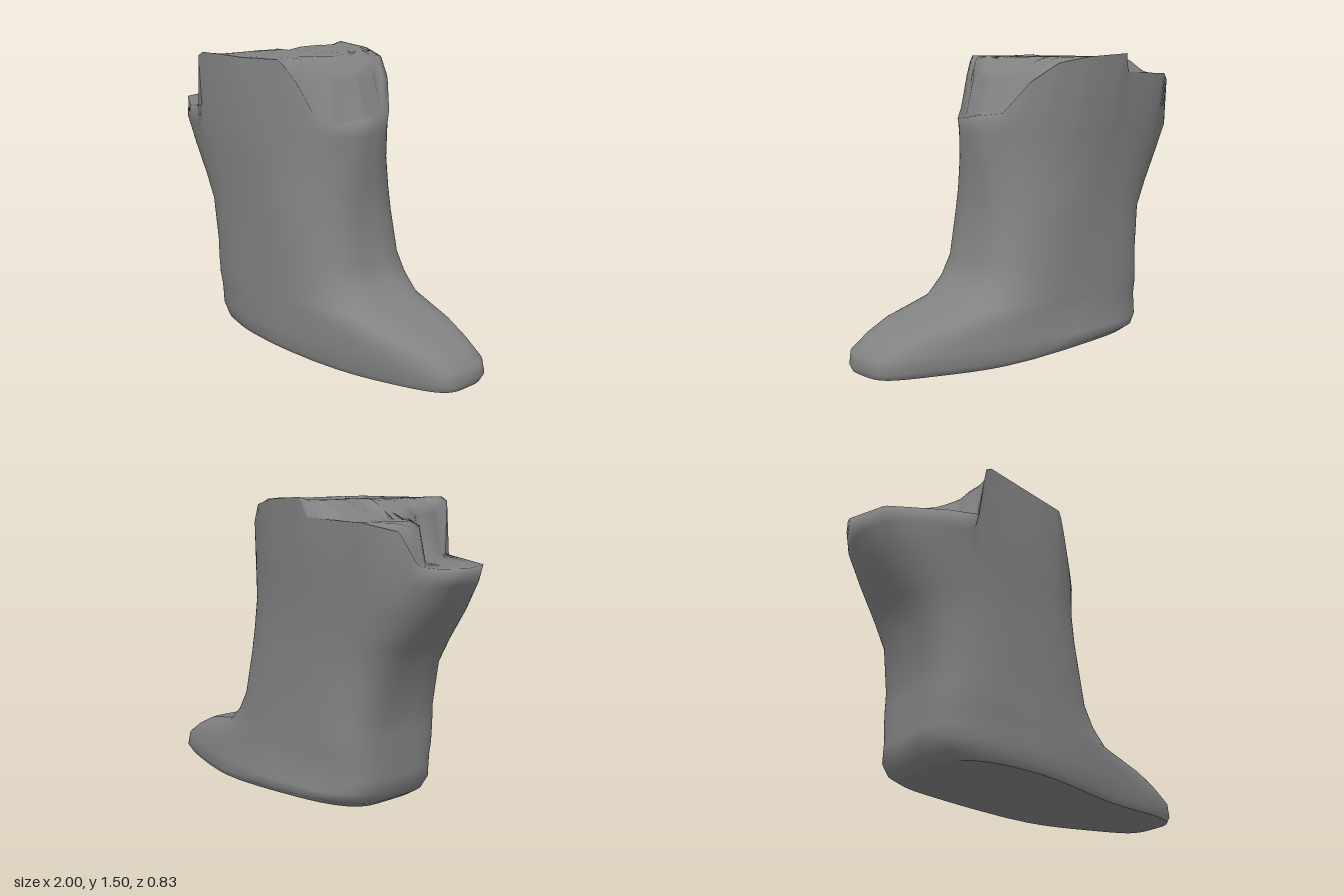
import * as THREE from 'three';

const N = 120;
const { smoothstep } = THREE.MathUtils;

// Skin a list of closed rings (each N points) with smooth normals
function loft(name, rings, material) {
  const pos = [], idx = [];
  rings.forEach(r => r.forEach(p => pos.push(p.x, p.y, p.z)));
  for (let i = 0; i < rings.length - 1; i++) {
    for (let j = 0; j < N; j++) {
      const a = i * N + j, b = i * N + (j + 1) % N, c = a + N, d = b + N;
      idx.push(a, c, b, b, c, d);
    }
  }
  const g = new THREE.BufferGeometry();
  g.setAttribute('position', new THREE.Float32BufferAttribute(pos, 3));
  g.setIndex(idx);
  g.computeVertexNormals();
  const mesh = new THREE.Mesh(g, material);
  mesh.name = name;
  return mesh;
}

// Ragged top edge: x, y, z, and how far in the inner wall starts (0 to 1)
const RIM = [
  [0.33, 1.2, 0, 0.1], [0.28, 1.18, 0.17, 0.08], [0.19, 1.23, 0.25, 0.05], [0.11, 1.39, 0.3, 0.03],
  [0.04, 1.49, 0.345, 0.03], [-0.2, 1.485, 0.38, 0.03], [-0.505, 1.495, 0.41, 0.02], [-0.525, 1.21, 0.4, 0.06],
  [-0.68, 1.2, 0.345, 0.38], [-0.93, 1.2, 0.18, 0.46], [-1, 1.2, -0.03, 0.36], [-0.94, 1.2, -0.14, 0.16],
  [-0.88, 1.21, -0.21, 0.05], [-0.82, 1.36, -0.27, 0.03], [-0.68, 1.4, -0.37, 0.03],
  [-0.36, 1.41, -0.4, 0.03], [-0.33, 1.505, -0.42, 0.03], [-0.1, 1.49, -0.39, 0.03],
  [0.06, 1.46, -0.335, 0.03], [0.18, 1.37, -0.26, 0.05], [0.28, 1.22, -0.17, 0.08],
];
const rimAngle = ([x, , z]) => {
  const t = Math.atan2(z / 0.41, (x + 0.33) / 0.66);
  return t < 0 ? t + Math.PI * 2 : t;
};

// Interpolated rim entry at angle t
function rimAt(t) {
  for (let i = 0; i < RIM.length; i++) {
    const a = RIM[i], b = RIM[(i + 1) % RIM.length];
    const ta = rimAngle(a), tb = i === RIM.length - 1 ? Math.PI * 2 : rimAngle(b);
    if (t >= ta && t <= tb) {
      const k = (t - ta) / Math.max(tb - ta, 1e-6);
      return a.map((v, n) => v + (b[n] - v) * k);
    }
  }
  return RIM[0];
}

// Horizontal sections: y, back x, front x, half width at -z, half width at +z
const SECTIONS = [
  [0.03, -0.53, 0.985, 0.36, 0.32],
  [0.06, -0.58, 1.0, 0.4, 0.34],
  [0.12, -0.62, 0.99, 0.385, 0.345],
  [0.18, -0.62, 0.9, 0.375, 0.345],
  [0.23, -0.62, 0.79, 0.365, 0.345],
  [0.29, -0.62, 0.52, 0.36, 0.345],
  [0.38, -0.62, 0.41, 0.355, 0.345],
  [0.48, -0.62, 0.345, 0.35, 0.345],
  [0.7, -0.67, 0.315, 0.345, 0.355],
  [0.82, -0.75, 0.31, 0.35, 0.36],
  [0.98, -0.87, 0.315, 0.355, 0.37],
  [1.12, -0.95, 0.325, 0.375, 0.385],
];
const angles = Array.from({ length: N }, (_, j) => (j / N) * Math.PI * 2);

function section([y, x0, x1, zn, zp], scale = 1) {
  return angles.map(t => {
    const c = Math.cos(t), s = Math.sin(t);
    // Squarish heel and blunt toe, rounder up the shaft
    const square = c > 0 ? 0.56 : s < 0 ? 0.46 : 0.53;
    const e = square + (0.87 - square) * smoothstep(y, 0.4, 1.2);
    const x = (x0 + x1) / 2 + (x1 - x0) / 2 * Math.sign(c) * Math.abs(c) ** e * scale;
    const taper = 1 - 0.36 * smoothstep(x, -0.1, 1);
    const shift = 0.025 * smoothstep(x, 0.3, 1);
    const z = Math.sign(s) * Math.abs(s) ** e * (s < 0 ? zn : zp) * taper * scale + shift;
    // The sole dips under the ball of the foot and rises at its -z edge
    const dip = y < 0.1 ? 0.025 * smoothstep(-z, 0.1, 0.4) - 0.03 * Math.exp(-(((x - 0.4) / 0.4) ** 2)) : 0;
    return new THREE.Vector3(x, y + dip, z);
  });
}

// Height of the closed top: flat in the middle, lower at heel and front
const topHeight = x => 1.4 + 0.09 * smoothstep(x, -0.6, -0.36) - 0.09 * smoothstep(x, 0.02, 0.2);

export function createModel() {
  const group = new THREE.Group();
  group.name = 'boot';
  const material = new THREE.MeshStandardMaterial({ color: 0x828282, side: THREE.DoubleSide });

  const entries = angles.map(rimAt);
  const rim = entries.map(([x, y, z]) => new THREE.Vector3(x, y, z));

  // Closed top: low ledges at heel and front, a short wall, then a raised middle
  const centre = new THREE.Vector3(-0.28, 1.49, 0);
  const inward = (extra, level) => entries.map(([, y, , f], j) => {
    const p = rim[j].clone().lerp(centre, f + extra);
    p.y = y + (topHeight(p.x) - y) * level;
    return p;
  });
  const middle = rim.map(p => centre.clone().lerp(p, 0.001));
  const top = [inward(0, 0.06), inward(0.07, 0.9), inward(0.18, 1), inward(0.35, 1), inward(0.5, 1), middle];

  // Foot, ankle, shaft and softly rounded top in one skin
  group.add(loft('bootUpper', [...SECTIONS.map(s => section(s)), rim, ...top], material));

  // Underside of the foot
  const sole = SECTIONS[0];
  group.add(loft('sole', [section(sole, 0.001), section(sole, 0.5), section(sole, 0.9), section(sole)], material));

  return group;
}
